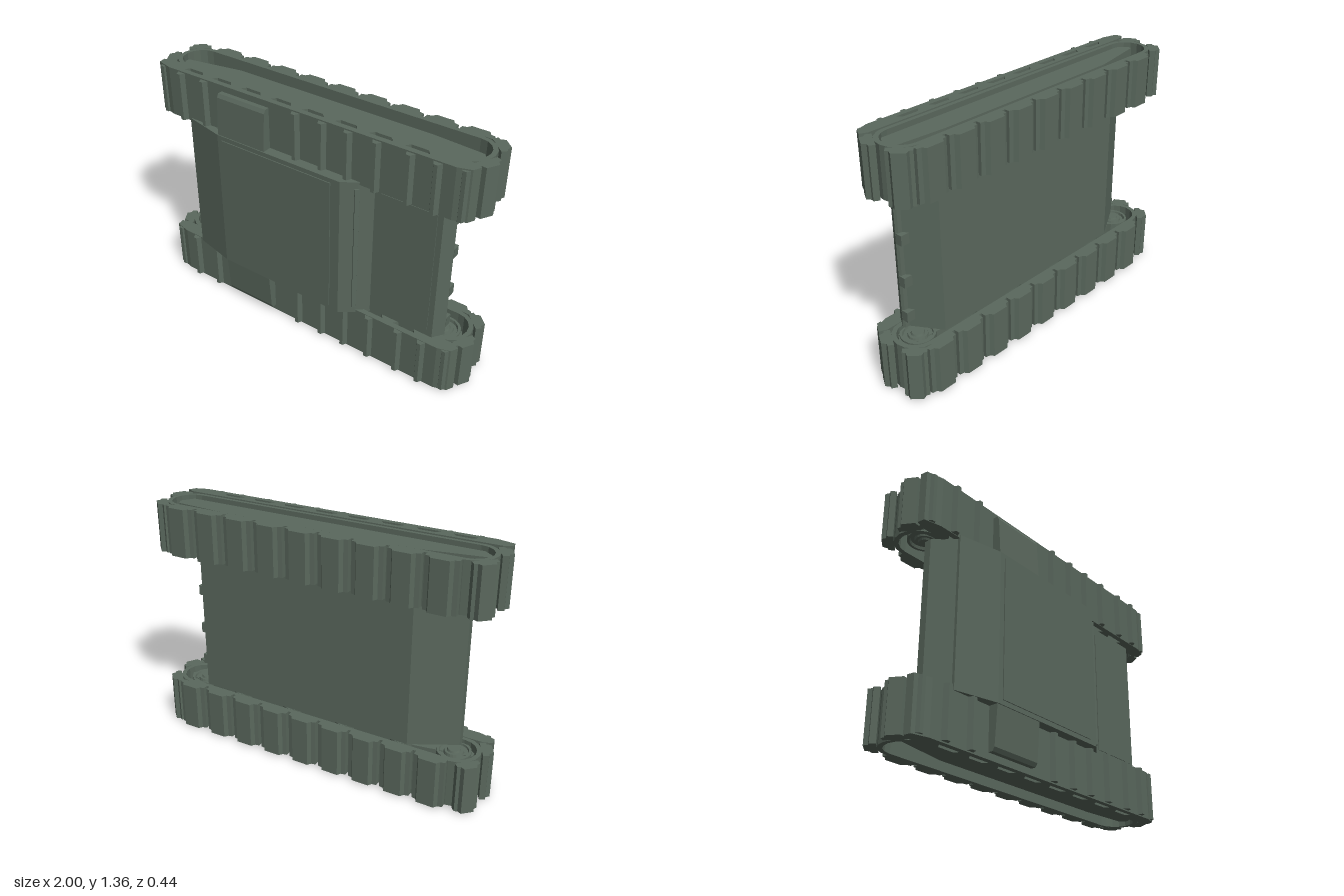
import * as THREE from 'three';

const HEIGHT = 1.37;
const armour = new THREE.MeshStandardMaterial({ color: 0x5a685d, flatShading: true });
armour.name = 'armourGreen';

// Closed outline from [x, z] pairs, stored as (x, -z)
const toPoints = pts => pts.map(([x, z]) => new THREE.Vector2(x, -z));

// Solid with an x-z outline running from y0 to y1; holes wind against the outline
function prism(name, pts, y0, y1, holes = []) {
  const shape = new THREE.Shape(toPoints(pts));
  holes.forEach(h => shape.holes.push(new THREE.Path(toPoints(h).reverse())));
  const geo = new THREE.ExtrudeGeometry(shape, { depth: y1 - y0, bevelEnabled: false });
  geo.rotateX(-Math.PI / 2).translate(0, y0, 0);
  const mesh = new THREE.Mesh(geo, armour);
  mesh.name = name;
  return mesh;
}

function box(name, w, h, d, x, y, z) {
  const mesh = new THREE.Mesh(new THREE.BoxGeometry(w, h, d), armour);
  mesh.name = name;
  mesh.position.set(x, y, z);
  return mesh;
}

// Rounded belt outline with ends centred on x = +-cx
function stadium(cx, cz, r, n = 8) {
  const pts = [];
  for (let end = 0; end < 2; end++)
    for (let i = 0; i <= n; i++) {
      const a = -Math.PI / 2 + Math.PI * (i / n + end);
      pts.push([(end ? -cx : cx) + r * Math.cos(a), cz + r * Math.sin(a)]);
    }
  return pts;
}

// Track pad outline at (x, z), facing outward along angle a in the x-z plane
function padOutline(x, z, a, half, thick) {
  const profile = [[-half, 0], [half, 0], [half, thick * 0.52], [half * 0.72, thick * 0.6], [half * 0.56, thick],
    [-half * 0.56, thick], [-half * 0.72, thick * 0.6], [-half, thick * 0.52]];
  const nx = Math.cos(a), nz = Math.sin(a);
  return profile.map(([t, n]) => [x + n * nx - t * nz, z + n * nz + t * nx]);
}

function wheel(r, x, z) {
  const profile = [[0, 0.1], [r, 0.1], [r, 0.26], [r * 0.85, 0.26], [r * 0.8, 0.245], [r * 0.6, 0.245],
    [r * 0.55, 0.26], [r * 0.4, 0.26], [r * 0.35, 0.27], [0, 0.27]];
  const mesh = new THREE.Mesh(new THREE.LatheGeometry(profile.map(p => new THREE.Vector2(...p)), 20), armour);
  mesh.name = 'wheel';
  mesh.position.set(x, 0, z);
  return mesh;
}

// One track unit at the foot of the model, or mirrored to the top
function createTrack(upper) {
  const track = new THREE.Group();
  track.name = upper ? 'upperTrack' : 'lowerTrack';
  const span = (a, b) => (upper ? [HEIGHT - b, HEIGHT - a] : [a, b]);
  const add = (name, pts, a, b, holes) => track.add(prism(name, pts, ...span(a, b), holes));

  add('trackBelt', stadium(0.825, -0.04, 0.125), 0.012, 0.283, [stadium(0.825, -0.04, 0.1)]);
  add('suspensionPlate', [[-0.9, -0.02], [-0.57, -0.08], [0.6, -0.08], [0.89, -0.06], [0.915, -0.02],
    [0.87, 0.05], [-0.85, 0.05], [-0.9, 0.01]], 0.035, 0.25);

  // Ground pads along the back run
  for (let i = 0; i < 9; i++)
    add('groundPad', padOutline(-0.735 + i * 0.19, -0.165, -Math.PI / 2, 0.086, 0.055), 0.012, 0.283);

  // Pads wrapped round both ends
  for (const side of [-1, 1])
    for (const deg of [-46, 30]) {
      const a = THREE.MathUtils.degToRad(side > 0 ? deg : 180 - deg);
      add('endPad', padOutline(side * 0.825 + 0.122 * Math.cos(a), -0.04 + 0.122 * Math.sin(a), a, 0.062, 0.06), 0.012, 0.283);
    }

  // Front run of links, with openings between the link arms
  const holes = [];
  for (let i = 0; i < 8; i++) {
    const x = -0.72 + i * 0.195;
    holes.push([[x - 0.045, 0.107], [x + 0.045, 0.107], [x + 0.065, 0.132], [x - 0.065, 0.132]]);
  }
  add('linkRun', [[-0.92, 0.082], [0.91, 0.082], [0.95, 0.1], [0.93, 0.14], [0.86, 0.162],
    [-0.87, 0.162], [-0.96, 0.14], [-0.965, 0.1]], 0.005, 0.286, holes);
  for (const x of [-0.92, -0.78, -0.62, -0.02, 0.14, 0.29, 0.45, 0.63, 0.77, 0.9]) {
    const base = Math.abs(x) > 0.88 ? 0.135 : 0.16;
    add('trackRidge', [[x - 0.025, base], [x + 0.025, base], [x + 0.01, base + 0.028], [x - 0.01, base + 0.028]], 0.012, 0.283);
  }

  // Road wheels and larger end wheels
  [-0.8, -0.52, -0.18, 0.16, 0.5, 0.8].forEach((x, i) => {
    const w = wheel(i === 0 || i === 5 ? 0.092 : 0.085, x, -0.022);
    if (upper) {
      w.rotation.x = Math.PI;
      w.position.y = HEIGHT;
    }
    track.add(w);
  });
  return track;
}

// Tapered housing that reaches from the cabin over a track
function createSponson(upper) {
  const shape = new THREE.Shape([[0.155, 0.29], [0.214, 0.29], [0.214, 0.27], [0.2, 0.06], [0.188, 0.04], [0.155, 0.04]]
    .map(([z, y]) => new THREE.Vector2(-z, upper ? HEIGHT - y : y)));
  const geo = new THREE.ExtrudeGeometry(shape, { depth: 0.31, bevelEnabled: false });
  geo.rotateY(Math.PI / 2).translate(-0.5, 0, 0);
  const mesh = new THREE.Mesh(geo, armour);
  mesh.name = upper ? 'upperSponson' : 'lowerSponson';
  return mesh;
}

export function createModel() {
  const model = new THREE.Group();
  model.name = 'trackedHull';
  const mid = HEIGHT / 2;

  // Hull with a flat front deck, steep nose and small lip, and the cabin above it
  model.add(prism('hull', [[-0.58, -0.132], [0.71, -0.132], [0.81, 0.028], [0.832, 0.03], [0.84, 0.044], [0.8, 0.11],
    [0.42, 0.11], [0.34, 0.15], [-0.74, 0.15], [-0.82, 0.04], [-0.82, 0]], 0.283, 1.087));
  model.add(prism('cabin', [[-0.74, 0.1], [0.42, 0.1], [0.42, 0.112], [0.36, 0.165], [0.285, 0.219],
    [-0.5, 0.219], [-0.74, 0.165]], 0.27, 1.1));

  // Raised panels and vision slot
  model.add(box('roofHatch', 0.7, 0.78, 0.009, -0.12, mid, 0.2195));
  model.add(box('frontDeckPanel', 0.31, 0.72, 0.008, 0.615, mid, 0.11));
  model.add(prism('visionSlot', [[0.335, 0.17], [0.36, 0.155], [0.366, 0.165], [0.35, 0.182]], 0.31, 1.06));

  // Towing lugs under the nose lip
  for (const y of [0.36, 0.565, 0.805, 1.01])
    model.add(box('noseLug', 0.06, 0.058, 0.042, 0.811, y, 0.021));

  // Tracks and sponsons on both sides
  for (const upper of [false, true]) model.add(createTrack(upper), createSponson(upper));
  return model;
}
